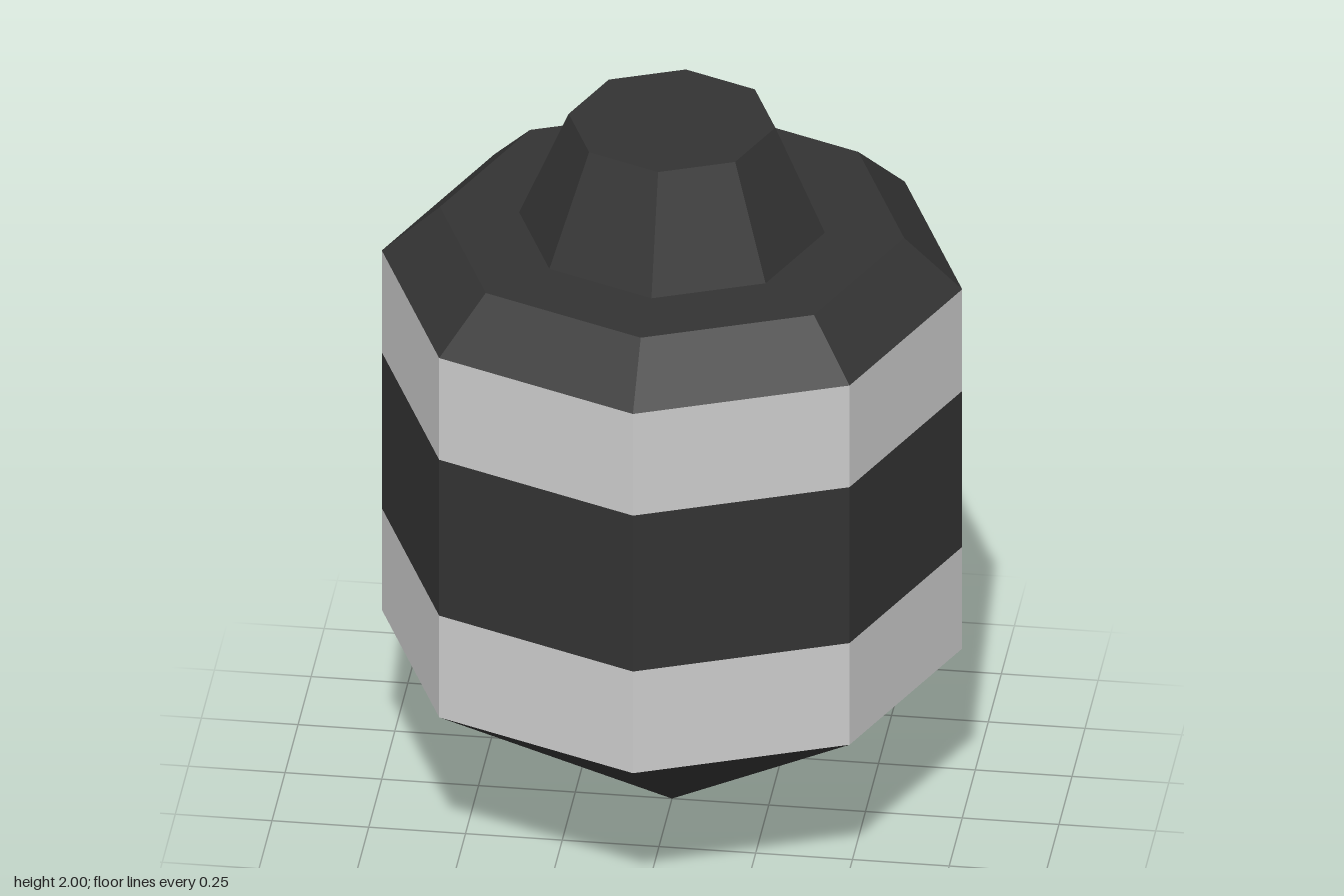
import * as THREE from 'three';

const SIDES = 8;

export function createModel() {
  const group = new THREE.Group();
  const grey = new THREE.MeshStandardMaterial({ color: 0xcccccc, flatShading: true });
  const dark = new THREE.MeshStandardMaterial({ color: 0x333333, flatShading: true });

  // One eight-sided section between two heights, with corners on the x and z axes
  function section(name, material, y0, y1, r0, r1, open = true) {
    const geometry = new THREE.CylinderGeometry(r1, r0, y1 - y0, SIDES, 1, open);
    const mesh = new THREE.Mesh(geometry, material);
    mesh.name = name;
    mesh.position.y = (y0 + y1) / 2;
    group.add(mesh);
  }

  // Pointed base
  section('pointedTip', dark, 0, 0.5, 0, 0.75);

  // Banded body
  section('lowerBand', grey, 0.5, 0.8, 0.75, 0.75);
  section('middleBand', dark, 0.8, 1.26, 0.75, 0.75);
  section('upperBand', grey, 1.26, 1.56, 0.75, 0.75);

  // Bevelled shoulder with a flat ledge
  section('shoulder', dark, 1.56, 1.7, 0.75, 0.6);
  const ledge = new THREE.Mesh(new THREE.RingGeometry(0.395, 0.6, SIDES), dark);
  ledge.name = 'shoulderLedge';
  ledge.rotation.x = -Math.PI / 2;
  ledge.position.y = 1.7;
  group.add(ledge);

  // Tapered neck with a flat top
  section('neck', dark, 1.7, 2, 0.395, 0.267);
  const top = new THREE.Mesh(new THREE.CircleGeometry(0.267, SIDES), dark);
  top.name = 'neckTop';
  top.rotation.x = -Math.PI / 2;
  top.position.y = 2;
  group.add(top);

  return group;
}
